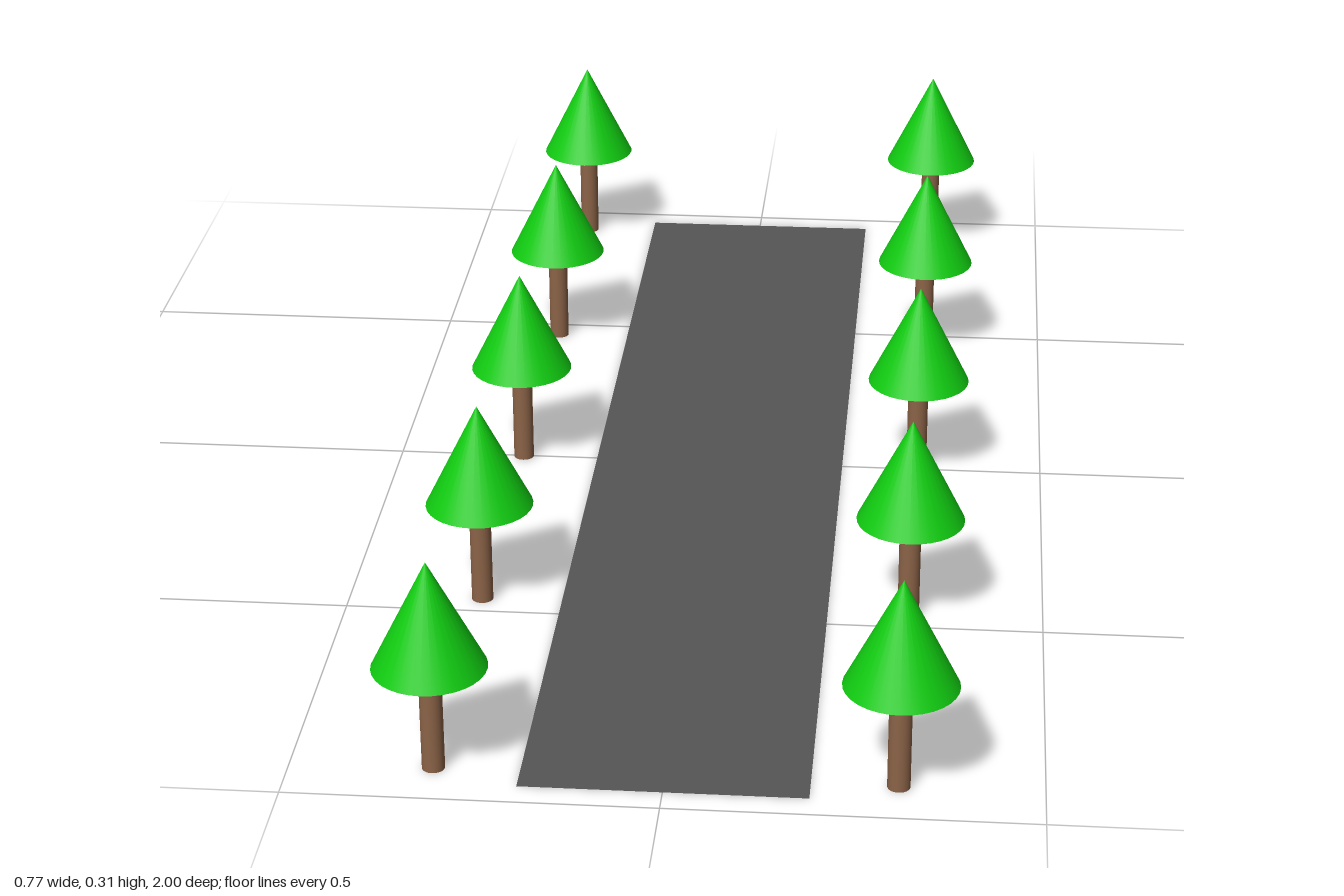
import * as THREE from 'three';

const U = 1 / 13; // base unit: every size below is a multiple of it

export function createModel() {
  const model = new THREE.Group();
  model.name = 'treeLinedRoad';

  const asphalt = new THREE.MeshStandardMaterial({ color: 0x555555, side: THREE.DoubleSide });
  const bark = new THREE.MeshStandardMaterial({ color: 0x8b6347 });
  const leaves = new THREE.MeshStandardMaterial({ color: 0x11cc11 });

  // Flat road strip running front to back
  const road = new THREE.Mesh(new THREE.PlaneGeometry(5 * U, 25 * U).rotateX(-Math.PI / 2), asphalt);
  road.name = 'road';
  model.add(road);

  // Shared tree geometry, each resting on its own base
  const trunkGeometry = new THREE.CylinderGeometry(0.2 * U, 0.2 * U, 2 * U, 32).translate(0, U, 0);
  const crownGeometry = new THREE.ConeGeometry(U, 2 * U, 32).translate(0, 3 * U, 0);

  function makeTree(name) {
    const tree = new THREE.Group();
    tree.name = name;
    const trunk = new THREE.Mesh(trunkGeometry, bark);
    trunk.name = 'trunk';
    const crown = new THREE.Mesh(crownGeometry, leaves);
    crown.name = 'crown';
    tree.add(trunk, crown);
    return tree;
  }

  // Five trees along each side of the road
  for (const side of [-1, 1]) {
    for (let i = -2; i <= 2; i++) {
      const tree = makeTree((side > 0 ? 'leftTree' : 'rightTree') + (i + 3));
      tree.position.set(side * 4 * U, 0, i * 6 * U);
      model.add(tree);
    }
  }

  return model;
}
